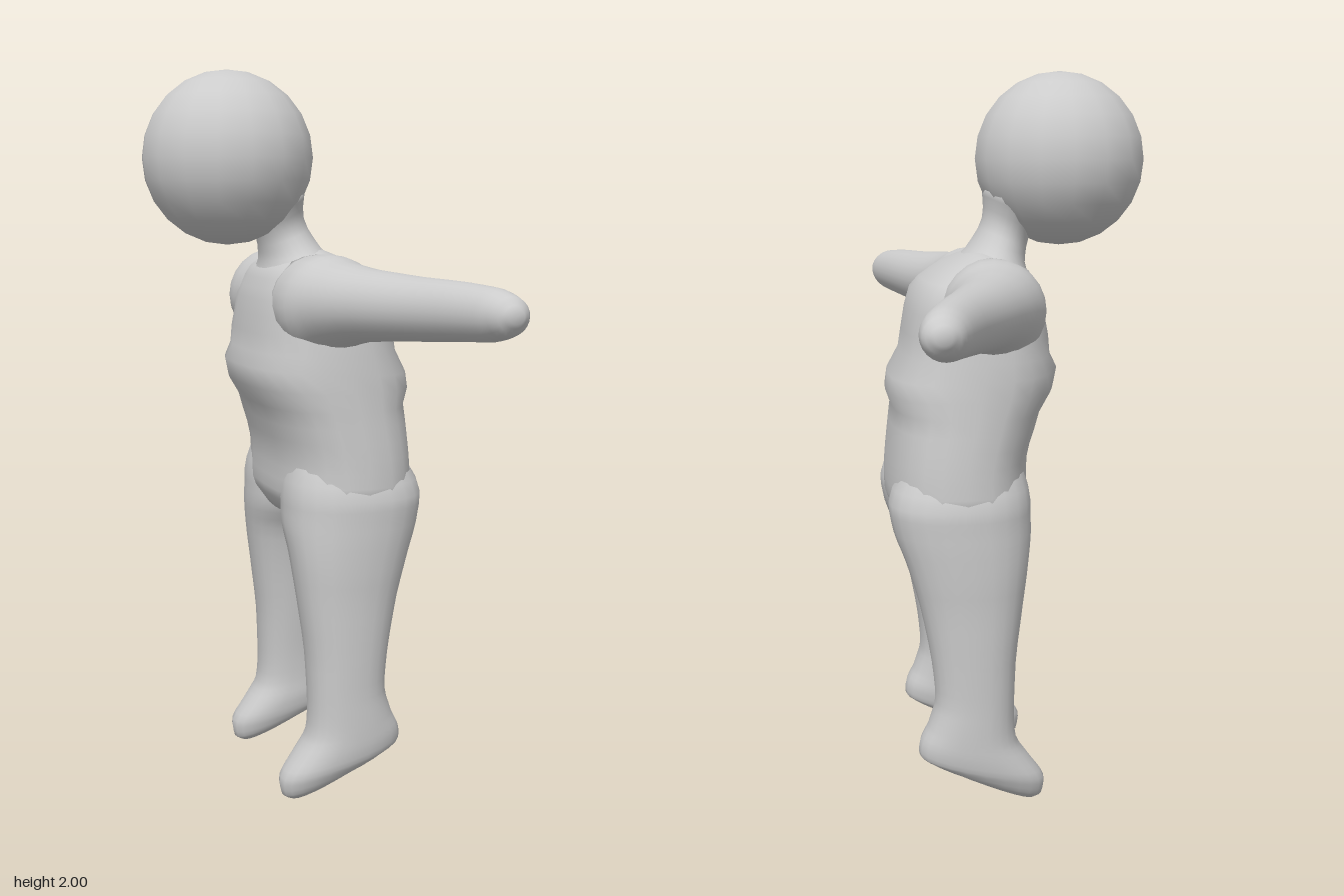
import * as THREE from 'three';

const material = new THREE.MeshStandardMaterial({ color: 0xcccccc });
const V = (x, y, z) => new THREE.Vector3(x, y, z);

// Smooth closed skin through sections { c: centre, u, v: half axes }.
function loft(sections, power = 2, sides = 24, steps = 3) {
  const curves = ['c', 'u', 'v'].map((k) => new THREE.CatmullRomCurve3(sections.map((s) => s[k])));
  const rings = (sections.length - 1) * steps;
  const pos = [], index = [];
  const round = (t) => Math.sign(t) * Math.abs(t) ** (2 / power);
  for (let i = 0; i <= rings; i++) {
    const [c, u, v] = curves.map((k) => k.getPoint(i / rings));
    for (let j = 0; j < sides; j++) {
      const a = (j / sides) * Math.PI * 2;
      const p = c.clone().addScaledVector(u, round(Math.cos(a))).addScaledVector(v, round(Math.sin(a)));
      pos.push(p.x, p.y, p.z);
    }
  }
  for (let i = 0; i < rings; i++) {
    for (let j = 0; j < sides; j++) {
      const k = (j + 1) % sides, a = i * sides, b = a + sides;
      index.push(a + j, a + k, b + j, a + k, b + k, b + j);
    }
  }
  // End caps
  const first = sections[0].c, last = sections[sections.length - 1].c;
  const n = pos.length / 3;
  pos.push(first.x, first.y, first.z, last.x, last.y, last.z);
  for (let j = 0; j < sides; j++) {
    const k = (j + 1) % sides, r = rings * sides;
    index.push(n, k, j, n + 1, r + j, r + k);
  }
  // Turn the faces outward if the enclosed volume is negative
  let volume = 0;
  const at = (i) => V(pos[i * 3], pos[i * 3 + 1], pos[i * 3 + 2]);
  for (let i = 0; i < index.length; i += 3) {
    volume += at(index[i]).dot(at(index[i + 1]).cross(at(index[i + 2])));
  }
  if (volume < 0) index.reverse();
  const g = new THREE.BufferGeometry();
  g.setAttribute('position', new THREE.Float32BufferAttribute(pos, 3));
  g.setIndex(index);
  g.computeVertexNormals();
  return g;
}

// Section from its toe-side point, its heel-side point and its z range.
const slice = (x0, y0, x1, y1, z0, z1) => ({
  c: V((x0 + x1) / 2, (y0 + y1) / 2, (z0 + z1) / 2),
  u: V((x1 - x0) / 2, (y1 - y0) / 2, 0),
  v: V(0, 0, (z1 - z0) / 2),
});

// Section across an arm at a given z.
const armSlice = (z, x0, x1, y0, y1) => ({
  c: V((x0 + x1) / 2, (y0 + y1) / 2, z),
  u: V((x1 - x0) / 2, 0, 0),
  v: V(0, (y1 - y0) / 2, 0),
});

export function createModel() {
  const model = new THREE.Group();
  const add = (name, geometry) => {
    const mesh = new THREE.Mesh(geometry, material);
    mesh.name = name;
    model.add(mesh);
    return mesh;
  };

  // Head, leaning forward over the chest
  const head = add('head', new THREE.SphereGeometry(0.233, 16, 12));
  head.position.set(-0.138, 1.768, 0);

  // Neck flaring into the head and shoulders
  add('neck', loft([
    slice(-0.08, 1.63, 0.075, 1.70, -0.13, 0.13),
    slice(-0.05, 1.55, 0.075, 1.61, -0.095, 0.095),
    slice(-0.04, 1.49, 0.12, 1.53, -0.13, 0.13),
    slice(-0.06, 1.42, 0.2, 1.46, -0.24, 0.24),
  ]));

  // Torso from shoulders to crotch
  add('torso', loft([
    slice(0.02, 1.51, 0.1, 1.53, -0.1, 0.1),
    slice(-0.045, 1.47, 0.19, 1.49, -0.22, 0.22),
    slice(-0.08, 1.39, 0.275, 1.42, -0.29, 0.29),
    slice(-0.1, 1.25, 0.31, 1.25, -0.308, 0.308),
    slice(-0.075, 1.1, 0.335, 1.1, -0.315, 0.315),
    slice(-0.037, 0.97, 0.35, 0.97, -0.322, 0.322),
    slice(-0.035, 0.86, 0.355, 0.86, -0.325, 0.325),
    slice(0.0, 0.79, 0.31, 0.79, -0.2, 0.2),
  ], 2.5));

  for (const [side, s] of [['left', -1], ['right', 1]]) {
    // Leg with a drooping foot, toes toward -x
    const leg = [
      [0.0, 0.98, 0.3, 0.98, 0.03, 0.28],
      [-0.03, 0.86, 0.357, 0.86, 0.0, 0.33],
      [-0.03, 0.78, 0.345, 0.78, 0.015, 0.33],
      [-0.02, 0.7, 0.315, 0.7, 0.065, 0.328],
      [-0.003, 0.58, 0.28, 0.58, 0.095, 0.322],
      [0.018, 0.42, 0.25, 0.42, 0.118, 0.318],
      [0.024, 0.29, 0.242, 0.31, 0.133, 0.315],
      [0.018, 0.19, 0.262, 0.24, 0.138, 0.315],
      [-0.02, 0.13, 0.285, 0.195, 0.138, 0.314],
      [-0.06, 0.07, 0.288, 0.155, 0.145, 0.308],
      [-0.055, 0.02, 0.27, 0.14, 0.16, 0.29],
      [-0.03, 0.005, 0.24, 0.125, 0.18, 0.27],
    ].map(([x0, y0, x1, y1, z0, z1]) => slice(x0, y0, x1, y1, s * z0, s * z1));
    add(side + 'Leg', loft(leg, 2.3));

    // Arm stretched sideways and swept back, with a rounded end
    const arm = [
      [0.12, -0.06, 0.2, 1.25, 1.51],
      [0.22, -0.065, 0.215, 1.24, 1.515],
      [0.3, -0.035, 0.21, 1.275, 1.5],
      [0.4, 0.015, 0.222, 1.3, 1.487],
      [0.55, 0.09, 0.262, 1.315, 1.477],
      [0.7, 0.16, 0.302, 1.328, 1.472],
      [0.81, 0.205, 0.328, 1.338, 1.463],
      [0.86, 0.23, 0.326, 1.355, 1.447],
      [0.884, 0.26, 0.3, 1.385, 1.42],
    ].map(([z, ...rest]) => armSlice(s * z, ...rest));
    add(side + 'Arm', loft(arm));
  }
  return model;
}
